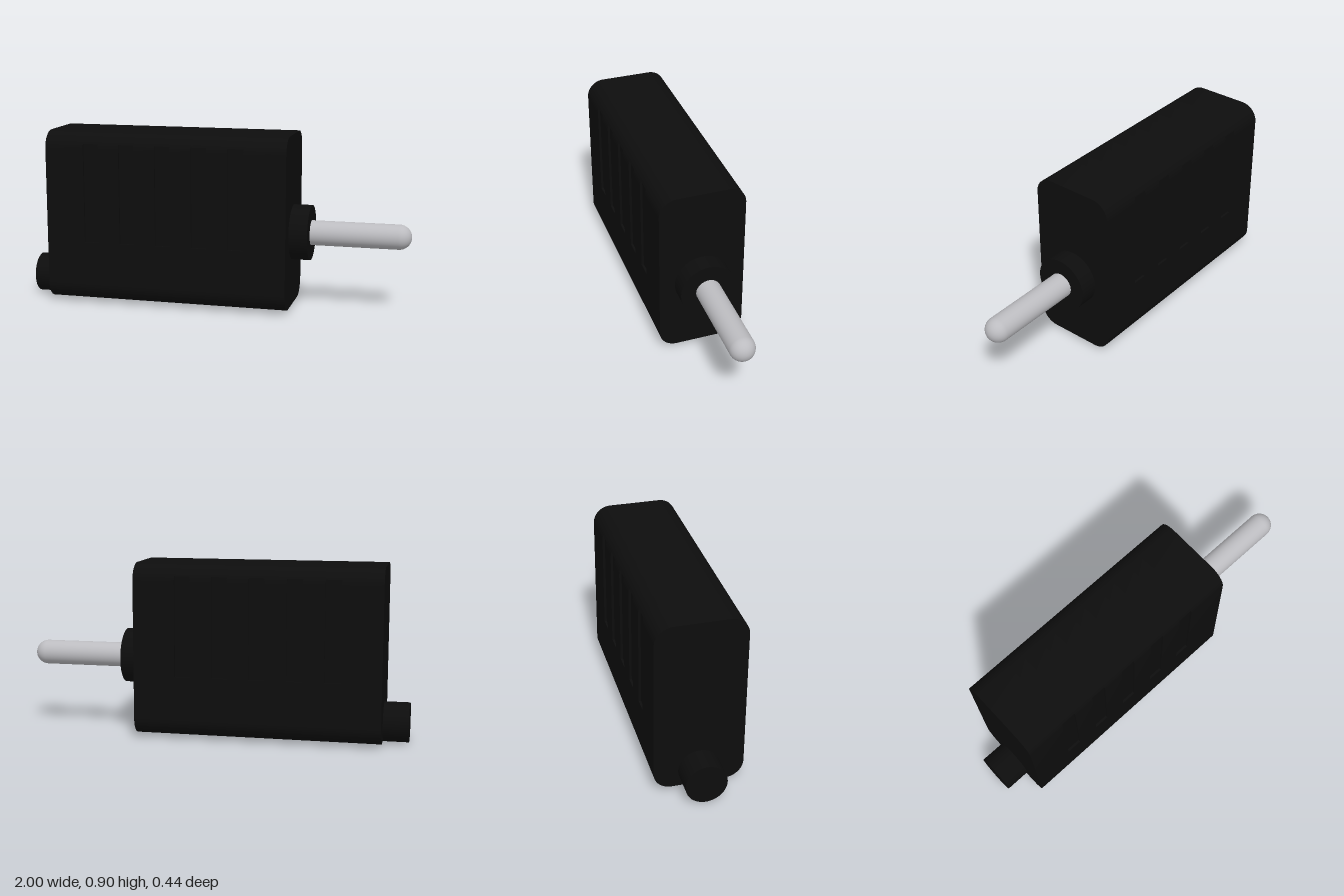
import * as THREE from 'three';
import { toCreasedNormals } from 'three/addons/utils/BufferGeometryUtils.js';

const HALF = 0.222, BOTTOM = 0.015, TOP = 0.905, R = 0.09;   // housing section
const GRIP = { low: 0.33, high: 0.845, z: 0.21 };            // grip grooves
const X0 = -0.87, X1 = 0.395;

// Rounded section of the housing, optionally notched on both sides
function section(notched) {
  const s = new THREE.Shape();
  const c = HALF - R, a = Math.asin((GRIP.high - (TOP - R)) / R);
  const start = notched ? a : 0;
  s.moveTo(HALF, BOTTOM + R);
  if (notched) {
    s.lineTo(HALF, GRIP.low);
    s.lineTo(GRIP.z, GRIP.low);
    s.lineTo(GRIP.z, GRIP.high);
  }
  s.absarc(c, TOP - R, R, start, Math.PI / 2, false);
  s.absarc(-c, TOP - R, R, Math.PI / 2, Math.PI - start, false);
  if (notched) {
    s.lineTo(-GRIP.z, GRIP.high);
    s.lineTo(-GRIP.z, GRIP.low);
    s.lineTo(-HALF, GRIP.low);
  }
  s.absarc(-c, BOTTOM + R, R, Math.PI, Math.PI * 1.5, false);
  s.absarc(c, BOTTOM + R, R, Math.PI * 1.5, Math.PI * 2, false);
  return s;
}

export function createModel() {
  const black = new THREE.MeshStandardMaterial({ color: 0x0d0d0d });
  black.name = 'black plastic';
  const metal = new THREE.MeshStandardMaterial({ color: 0xbcbcc0 });
  metal.name = 'grey metal';

  const model = new THREE.Group();
  model.name = 'plug';
  const add = (parent, name, geometry, material) => {
    const mesh = new THREE.Mesh(geometry, material);
    mesh.name = name;
    parent.add(mesh);
    return mesh;
  };

  // Housing: plain slices alternating with notched slices that form the grooves
  const housing = new THREE.Group();
  housing.name = 'housing';
  model.add(housing);
  const slice = (name, from, to, notched) => {
    const g = new THREE.ExtrudeGeometry(section(notched), {
      depth: to - from, bevelEnabled: false, curveSegments: 12,
    });
    g.rotateY(Math.PI / 2).translate(from, 0, 0);
    add(housing, name, toCreasedNormals(g, 0.6), black);
  };
  let x = X0;
  for (let i = 0; i < 5; i++) {
    const from = -0.665 + i * 0.191, to = from + 0.08;
    slice('housingSlice', x, from, false);
    slice('gripGroove', from, to, true);
    x = to;
  }
  slice('housingSlice', x, X1, false);

  // Round parts lying along x
  const rod = (name, radius, from, to, y) => {
    const g = new THREE.CylinderGeometry(radius, radius, to - from, 48);
    g.rotateZ(-Math.PI / 2).translate((from + to) / 2, y, 0);
    add(model, name, g, black);
  };
  rod('collar', 0.142, X1 - 0.02, 0.49, 0.397);
  rod('cableOutlet', 0.102, -1, X0 + 0.02, 0.102);

  // Pin with a rounded tip
  const r = 0.064;
  const profile = [new THREE.Vector2(r, 0.47)];
  for (let i = 0; i <= 12; i++) {
    const a = (i / 12) * Math.PI / 2;
    profile.push(new THREE.Vector2(i === 12 ? 0 : r * Math.cos(a), 1 - r + r * Math.sin(a)));
  }
  const pin = new THREE.LatheGeometry(profile, 40);
  pin.rotateZ(-Math.PI / 2).translate(0, 0.397, 0);
  add(model, 'pin', pin, metal);

  return model;
}
